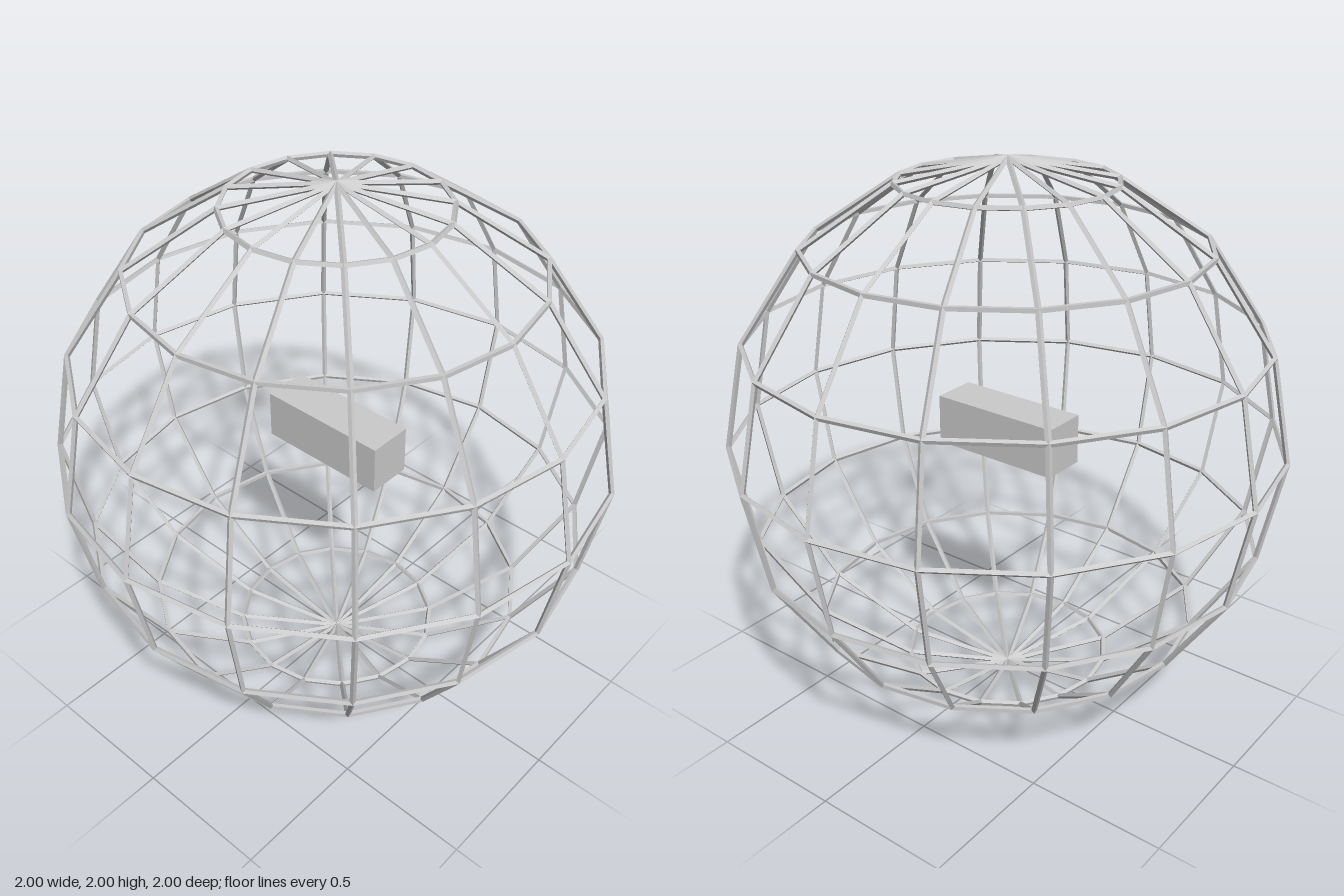
import * as THREE from 'three';

const R = 0.99;      // cage radius at wire centre
const WIRE = 0.01;   // half thickness of the diamond-section wire
const SIDES = 16;    // facets around the cage

export function createModel() {
  const model = new THREE.Group();
  model.name = 'wireGlobe';
  const material = new THREE.MeshStandardMaterial({ color: 0xcccccc, flatShading: true });

  const add = (geometry, name, parent) => {
    const mesh = new THREE.Mesh(geometry, material);
    mesh.name = name;
    parent.add(mesh);
    return mesh;
  };

  const cage = new THREE.Group();
  cage.name = 'cage';
  cage.position.y = 1;
  model.add(cage);

  // Meridians: full hoops through both poles
  for (let i = 0; i < SIDES / 2; i++) {
    add(new THREE.TorusGeometry(R, WIRE, 4, SIDES), 'meridianHoop', cage)
      .rotation.y = (i * 2 * Math.PI) / SIDES;
  }

  // Parallels: lathed diamonds whose outer edge points away from the centre
  for (let j = -3; j <= 3; j++) {
    const lat = (j * 2 * Math.PI) / SIDES;
    const profile = [];
    for (let k = 0; k <= 4; k++) {
      const a = lat + (k * Math.PI) / 2;
      profile.push(new THREE.Vector2(
        R * Math.cos(lat) + WIRE * Math.cos(a),
        R * Math.sin(lat) + WIRE * Math.sin(a)));
    }
    add(new THREE.LatheGeometry(profile, SIDES), 'parallelRing', cage);
  }

  // Solid block floating in the middle
  add(new THREE.BoxGeometry(0.167, 0.183, 0.5), 'coreBlock', model).position.y = 1.017;

  return model;
}
